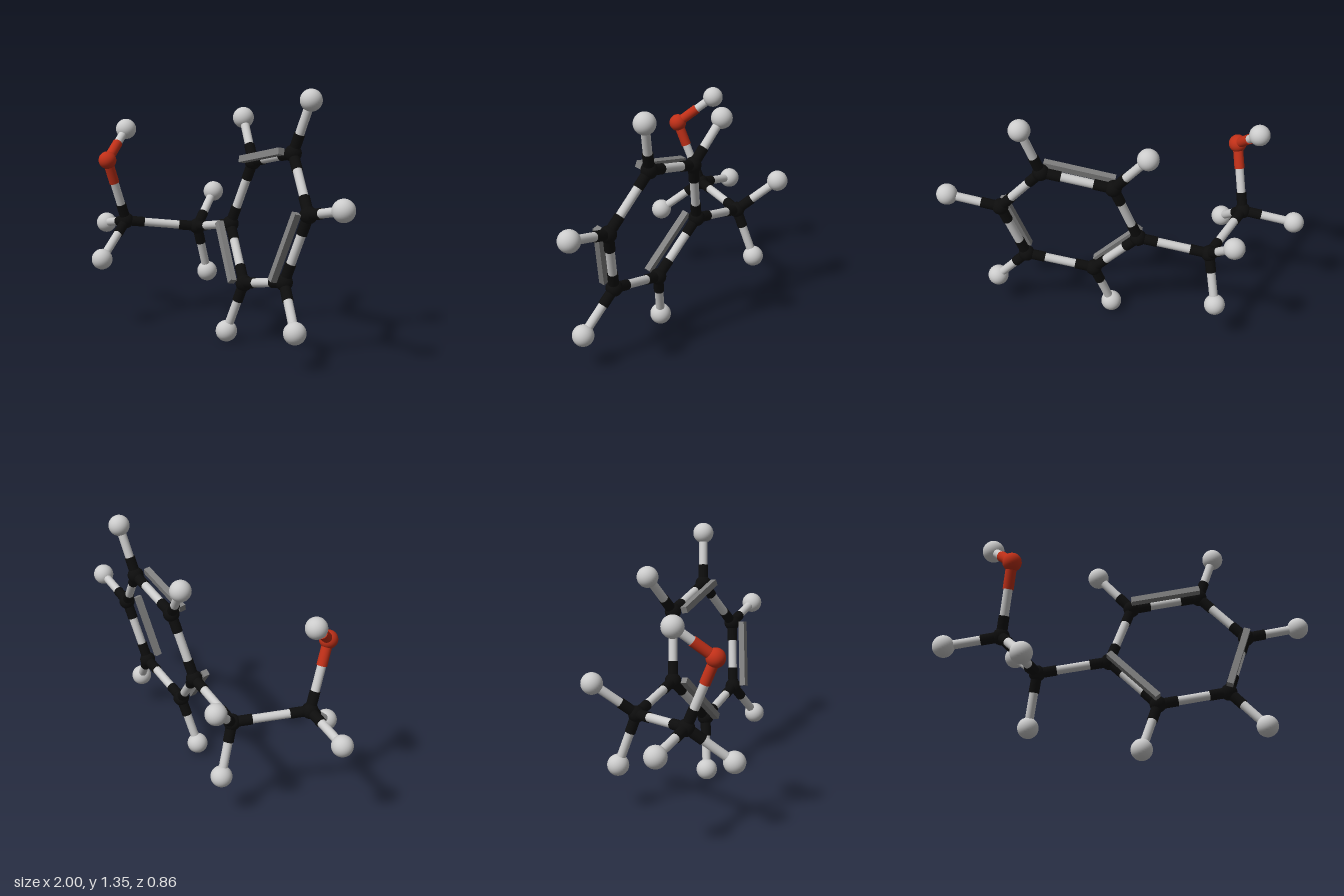
import * as THREE from 'three';

const mat = (color) => new THREE.MeshStandardMaterial({ color });
const materials = { C: mat(0x0d0d0d), O: mat(0xc03018), H: mat(0xcccccc) };
const barMaterial = mat(0x808080);
const radius = { C: 0.044, O: 0.049, H: 0.057 };
const names = { C: 'carbon', O: 'oxygen', H: 'hydrogen' };

// Atom centres: element, x, y, z
const atoms = {
  chain1: ['C', -0.67, 0.57, 0.145],
  chain2: ['C', -0.405, 0.53, -0.16],
  oxygen: ['O', -0.66, 0.925, 0.285],
  hOxygen: ['H', -0.72, 1.082, 0.09],
  h1a: ['H', -0.943, 0.517, 0.053],
  h1b: ['H', -0.615, 0.388, 0.375],
  h2a: ['H', -0.48, 0.703, -0.372],
  h2b: ['H', -0.422, 0.253, -0.257],
  ring0: ['C', -0.04, 0.6, -0.045],
  ring1: ['C', 0.097, 0.948, -0.072],
  ring2: ['C', 0.457, 1.025, 0.03],
  ring3: ['C', 0.67, 0.75, 0.165],
  ring4: ['C', 0.543, 0.403, 0.195],
  ring5: ['C', 0.184, 0.329, 0.094],
  hRing1: ['H', -0.064, 1.166, -0.174],
  hRing2: ['H', 0.556, 1.294, 0.012],
  hRing3: ['H', 0.943, 0.81, 0.245],
  hRing4: ['H', 0.703, 0.193, 0.302],
  hRing5: ['H', 0.083, 0.059, 0.12],
};

const bonds = [
  ['chain1', 'chain2'], ['chain1', 'oxygen'], ['oxygen', 'hOxygen'],
  ['chain1', 'h1a'], ['chain1', 'h1b'], ['chain2', 'h2a'], ['chain2', 'h2b'],
  ['chain2', 'ring0'],
];
for (let i = 0; i < 6; i++) {
  bonds.push([`ring${i}`, `ring${(i + 1) % 6}`]);
  if (i > 0) bonds.push([`ring${i}`, `hRing${i}`]);
}

const position = (key) => new THREE.Vector3(...atoms[key].slice(1));

// Straight rod between two points
function rod(name, a, b, r, material) {
  const dir = b.clone().sub(a);
  const mesh = new THREE.Mesh(new THREE.CylinderGeometry(r, r, dir.length(), 20), material);
  mesh.position.copy(a).add(b).multiplyScalar(0.5);
  mesh.quaternion.setFromUnitVectors(new THREE.Vector3(0, 1, 0), dir.normalize());
  mesh.name = name;
  return mesh;
}

// Grey rod with a coloured sleeve at each heavy atom
function makeBond(from, to) {
  const group = new THREE.Group();
  group.name = 'bond';
  const a = position(from), b = position(to);
  group.add(rod('bondRod', a, b, 0.0235, materials.H));
  for (const [key, start, end] of [[from, a, b], [to, b, a]]) {
    const element = atoms[key][0];
    if (element === 'H') continue;
    const sleeve = element === 'O' ? 0.14 : 0.105;
    const tip = end.clone().sub(start).setLength(sleeve).add(start);
    group.add(rod('bondSleeve', start, tip, 0.028, materials[element]));
  }
  return group;
}

// Square bar beside a double bond, lifted off the ring plane
function makeDoubleBar(from, to, normal) {
  const a = position(from), b = position(to);
  const along = b.clone().sub(a);
  const bar = new THREE.Mesh(new THREE.BoxGeometry(0.035, along.length(), 0.035), barMaterial);
  bar.position.copy(a).add(b).multiplyScalar(0.5).addScaledVector(normal, 0.07);
  along.normalize();
  const side = along.clone().cross(normal).normalize();
  const up = side.clone().cross(along);
  bar.quaternion.setFromRotationMatrix(new THREE.Matrix4().makeBasis(side, along, up));
  bar.name = 'doubleBondBar';
  return bar;
}

export function createModel() {
  const model = new THREE.Group();
  model.name = 'molecule';

  // Atoms
  for (const key in atoms) {
    const element = atoms[key][0];
    const ball = new THREE.Mesh(new THREE.SphereGeometry(radius[element], 32, 20), materials[element]);
    ball.position.copy(position(key));
    ball.name = `${names[element]}Atom`;
    model.add(ball);
  }

  // Bonds
  for (const [from, to] of bonds) model.add(makeBond(from, to));

  // Second strands of the alternating ring bonds
  const normal = position('ring1').sub(position('ring4'))
    .cross(position('ring3').sub(position('ring0'))).normalize();
  if (normal.z < 0) normal.negate();
  for (const [i, j] of [[1, 2], [3, 4], [5, 0]]) {
    model.add(makeDoubleBar(`ring${i}`, `ring${j}`, normal));
  }
  return model;
}
